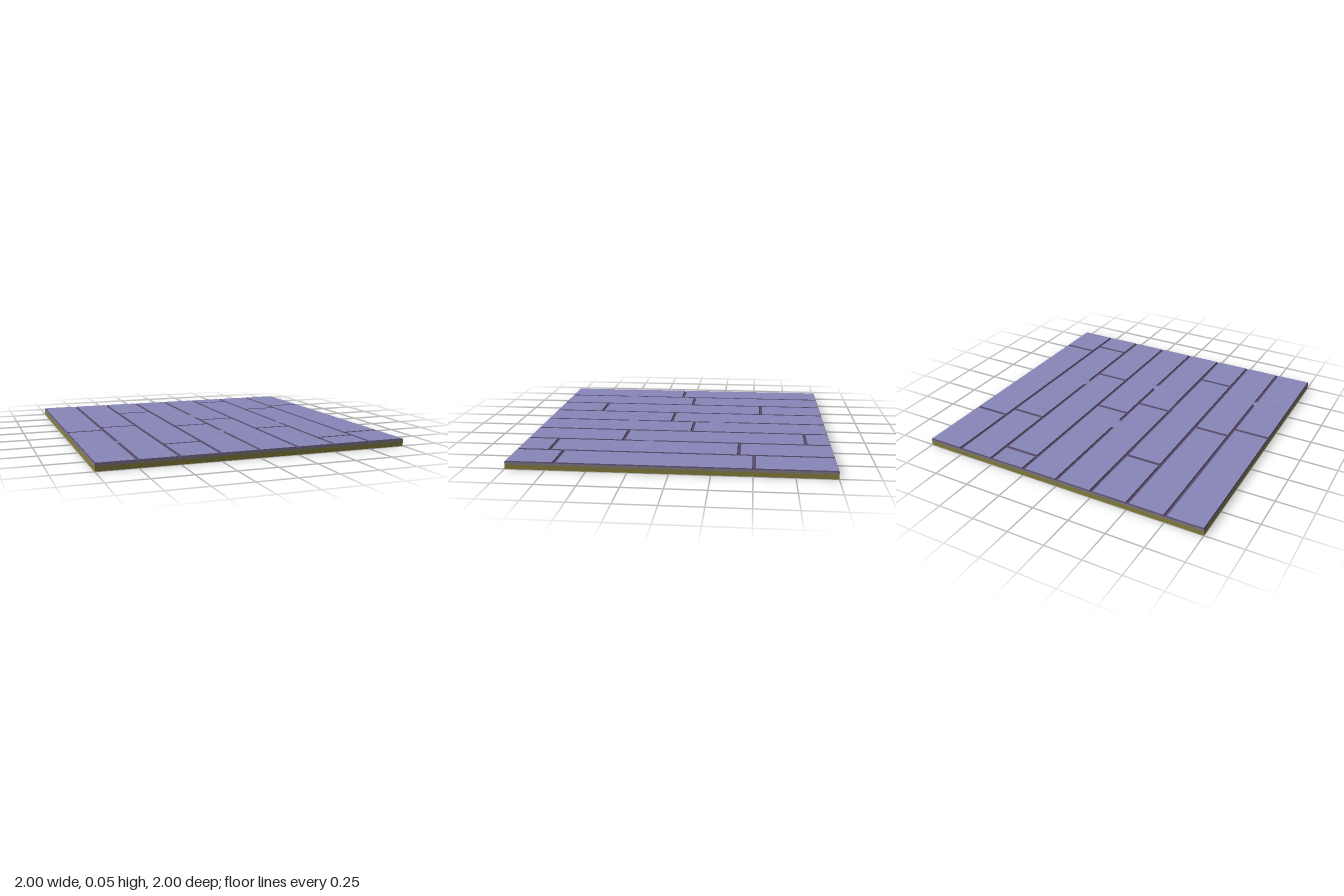
import * as THREE from 'three';

const WOOD = new THREE.MeshStandardMaterial({ color: 0x8886b8 });
const EDGE = new THREE.MeshStandardMaterial({ color: 0x574a68 });
const BED = new THREE.MeshStandardMaterial({ color: 0x827c84 });
const BASE = new THREE.MeshStandardMaterial({ color: 0x87803a });

const BED_TOP = 0.043, TOP = 0.05, GAP = 0.014, BEVEL = 0.004;

function addSlab(group, name, y0, y1, material) {
  const mesh = new THREE.Mesh(new THREE.BoxGeometry(2, y1 - y0, 2), material);
  mesh.position.y = (y0 + y1) / 2;
  mesh.name = name;
  group.add(mesh);
}

// Plank with sloping sides: the top face is drawn in by the bevel
function plankGeometry(w, h, d) {
  const geo = new THREE.BoxGeometry(w, h, d);
  const p = geo.attributes.position;
  for (let i = 0; i < p.count; i++) {
    if (p.getY(i) < 0) continue;
    p.setX(i, p.getX(i) - Math.sign(p.getX(i)) * BEVEL);
    p.setZ(i, p.getZ(i) - Math.sign(p.getZ(i)) * BEVEL);
  }
  geo.computeVertexNormals();
  return geo;
}

export function createModel() {
  const group = new THREE.Group();
  group.name = 'plankFloor';

  // Subfloor in two layers
  addSlab(group, 'base', 0, 0.028, BASE);
  addSlab(group, 'plankBed', 0.028, BED_TOP, [BED, BED, EDGE, BED, BED, BED]);

  // Eight rows of planks, each cut at its own joints along z
  const joints = [[0.08], [-0.02], [-0.55, 0.65], [0.09], [-0.075], [-0.84, 0.36], [-0.41, 0.79], [-0.505, 0.695]];
  const planks = new THREE.Group();
  planks.name = 'planks';
  joints.forEach((cuts, row) => {
    const x0 = row === 0 ? -1 : -1 + row * 0.25 + GAP / 2 - 0.003;
    const x1 = row === 7 ? 1 : -1 + (row + 1) * 0.25 - GAP / 2 - 0.003;
    const ends = [-1 - GAP / 2, ...cuts, 1 + GAP / 2];
    for (let i = 0; i < ends.length - 1; i++) {
      const z0 = ends[i] + GAP / 2, z1 = ends[i + 1] - GAP / 2;
      const plank = new THREE.Mesh(
        plankGeometry(x1 - x0, TOP - BED_TOP, z1 - z0),
        [EDGE, EDGE, WOOD, EDGE, EDGE, EDGE]
      );
      plank.position.set((x0 + x1) / 2, (BED_TOP + TOP) / 2, (z0 + z1) / 2);
      plank.name = 'plank';
      planks.add(plank);
    }
  });
  group.add(planks);

  // Low swellings that bridge some of the gaps: x, z, radius x, radius z
  const knots = [
    [-0.85, 0.49, 0.11, 0.06], [-0.1, 0.37, 0.11, 0.07], [-0.36, 0.73, 0.095, 0.055],
    [0.03, -0.24, 0.08, 0.06], [0.6, 0.19, 0.115, 0.07], [0.57, -0.35, 0.06, 0.05],
  ];
  const dome = new THREE.SphereGeometry(1, 32, 8, 0, Math.PI * 2, 0, Math.PI / 2);
  for (const [x, z, rx, rz] of knots) {
    const knot = new THREE.Mesh(dome, WOOD);
    knot.scale.set(rx, 0.004, rz);
    knot.position.set(x, TOP - 0.0005, z);
    knot.name = 'knot';
    group.add(knot);
  }
  return group;
}
